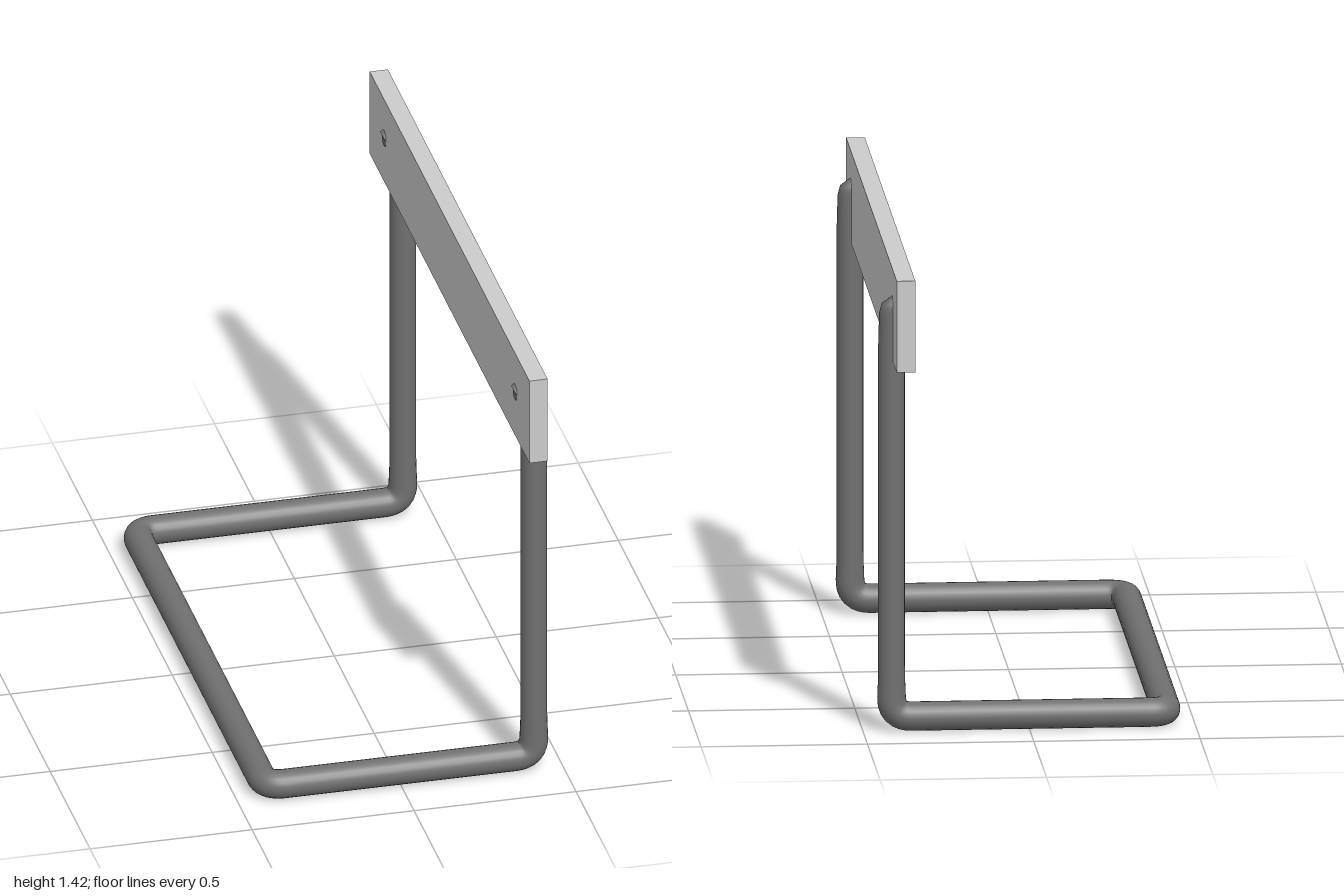
import * as THREE from 'three';

const { lerp, smoothstep } = THREE.MathUtils;
const BAR_R = 0.044, POST_R = 0.04, TIP_R = 0.025;
const POST_X = 0.414, BACK_X = -0.414, SIDE_Z = 0.82, BASE_Y = 0.046, TOP_Y = 1.315;
const TIP = new THREE.Vector3(0.357, 1.286, SIDE_Z);

// Straight runs joined by small curved bends
function bentPath(points, bends) {
  const path = new THREE.CurvePath();
  let from = points[0];
  for (let i = 1; i < points.length - 1; i++) {
    const corner = points[i], r = bends[i - 1];
    const a = corner.clone().add(points[i - 1].clone().sub(corner).setLength(r));
    const b = corner.clone().add(points[i + 1].clone().sub(corner).setLength(r));
    path.add(new THREE.LineCurve3(from, a));
    path.add(new THREE.QuadraticBezierCurve3(a, corner, b));
    from = b;
  }
  path.add(new THREE.LineCurve3(from, points[points.length - 1]));
  path.arcLengthDivisions = 3000;
  return path;
}

// Pipe radius: fuller at the base, tapering into the board
function pipeRadius(p) {
  let r = lerp(BAR_R, POST_R, smoothstep(p.y, 0.06, 0.2));
  r = lerp(r, 0.037, smoothstep(p.y, 1.18, 1.31));
  if (p.y > 1.2) r = lerp(TIP_R, r, smoothstep(p.x, TIP.x, 0.4));
  return r;
}

function pipeGeometry(path, segments, sides) {
  const geometry = new THREE.TubeGeometry(path, segments, 1, sides);
  const pos = geometry.attributes.position;
  const v = new THREE.Vector3();
  for (let i = 0; i <= segments; i++) {
    const centre = path.getPointAt(i / segments);
    const r = pipeRadius(centre);
    for (let j = 0; j <= sides; j++) {
      const k = i * (sides + 1) + j;
      v.fromBufferAttribute(pos, k).sub(centre).multiplyScalar(r).add(centre);
      pos.setXYZ(k, v.x, v.y, v.z);
    }
  }
  return geometry;
}

export function createModel() {
  const group = new THREE.Group();
  const boardMaterial = new THREE.MeshStandardMaterial({ color: 0xcccccc });
  const pipeMaterial = new THREE.MeshStandardMaterial({ color: 0x707070 });

  // One bent pipe forms the posts and the floor frame
  const half = [
    TIP,
    new THREE.Vector3(POST_X, TOP_Y, SIDE_Z),
    new THREE.Vector3(POST_X, BASE_Y, SIDE_Z),
    new THREE.Vector3(BACK_X, BASE_Y, SIDE_Z),
  ];
  const mirrored = half.map((p) => new THREE.Vector3(p.x, p.y, -p.z)).reverse();
  const path = bentPath([...half, ...mirrored], [0.035, 0.06, 0.06, 0.06, 0.06, 0.035]);
  const frame = new THREE.Mesh(pipeGeometry(path, 480, 24), pipeMaterial);
  frame.name = 'pipeFrame';
  group.add(frame);

  // Pipe ends showing through the far face of the board
  for (const side of [1, -1]) {
    const end = new THREE.Mesh(new THREE.SphereGeometry(TIP_R, 20, 12), pipeMaterial);
    end.name = side > 0 ? 'frontPipeEnd' : 'backPipeEnd';
    end.scale.x = 0.2;
    end.position.set(TIP.x, TIP.y, side * SIDE_Z);
    group.add(end);
  }

  // Crossbar board
  const board = new THREE.Mesh(new THREE.BoxGeometry(0.056, 0.28, 2), boardMaterial);
  board.name = 'crossbarBoard';
  board.position.set(0.384, 1.281, 0);
  group.add(board);

  return group;
}
